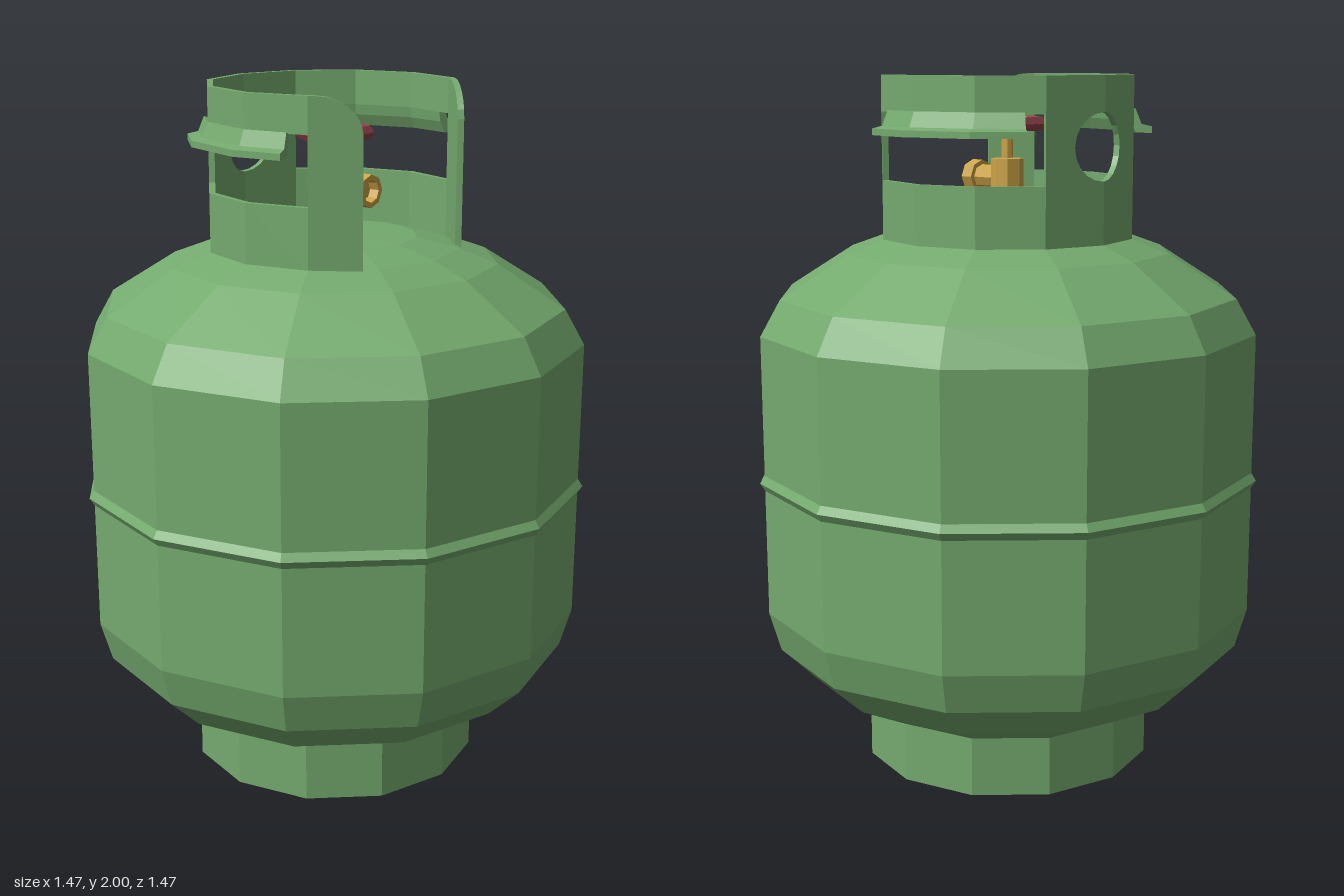
import * as THREE from 'three';

const green = new THREE.MeshStandardMaterial({ name: 'green paint', color: 0x74aa6e, flatShading: true });
const brass = new THREE.MeshStandardMaterial({ name: 'brass', color: 0xcda447, flatShading: true });
const red = new THREE.MeshStandardMaterial({ name: 'red paint', color: 0x94434a, flatShading: true });

const OUTER = 0.363, INNER = 0.345;

function add(parent, name, geometry, material, x = 0, y = 0, z = 0) {
  const mesh = new THREE.Mesh(geometry, material);
  mesh.name = name;
  mesh.position.set(x, y, z);
  parent.add(mesh);
  return mesh;
}

const lathe = (points, sides) =>
  new THREE.LatheGeometry(points.map(([r, y]) => new THREE.Vector2(r, y)), sides);

// Point on the collar circle; the angle runs from the back (-z) towards +x
function onCircle(deg, r, y) {
  const a = THREE.MathUtils.degToRad(deg);
  return new THREE.Vector3(Math.sin(a) * r, y, -Math.cos(a) * r);
}

// Replaces every vertex by rule(vertex)
function warp(geometry, rule) {
  const p = geometry.attributes.position, v = new THREE.Vector3();
  for (let i = 0; i < p.count; i++) {
    const w = rule(v.fromBufferAttribute(p, i));
    p.setXYZ(i, w.x, w.y, w.z);
  }
  geometry.computeVertexNormals();
  return geometry;
}

// Flat collar plate between two angles; outline points are [0..1 across, y]
function plate(from, to, side, outline) {
  const shape = new THREE.Shape(outline.map(([t, y]) => new THREE.Vector2(t * side, y)));
  const geometry = new THREE.ExtrudeGeometry(shape, { depth: 1, bevelEnabled: false });
  return warp(geometry, (v) => {
    const r = v.z > 0.5 ? INNER : OUTER;
    return onCircle(from * side, r, v.y).lerp(onCircle(to * side, r, v.y), v.x * side);
  });
}

// Constant profile [r, y] swept through a list of angles
function sweep(profile, angles) {
  const n = angles.length - 1;
  const shape = new THREE.Shape(profile.map(([r, y]) => new THREE.Vector2(r, y)));
  const geometry = new THREE.ExtrudeGeometry(shape, { depth: n, steps: n, bevelEnabled: false });
  return warp(geometry, (v) => onCircle(angles[Math.round(v.z)], v.x, v.y));
}

const band = (low, high) => [[0, low], [1, low], [1, high], [0, high]];

// Points on an arc from angle a to angle b, in radians
function arc(cx, cy, rx, ry, a, b, n) {
  return Array.from({ length: n + 1 }, (_, i) => {
    const t = a + (b - a) * i / n;
    return [cx + rx * Math.cos(t), cy + ry * Math.sin(t)];
  });
}

function makeCollar() {
  const collar = new THREE.Group();
  collar.name = 'collar';
  const low = 1.54, top = 2, sill = 1.71, lintel = 1.9;
  for (const side of [1, -1]) {
    // Back plate with half of the round hole
    const back = [[0, low], [1, low], [1, top], [0, top],
      ...arc(0, 1.81, 0.51, 0.093, Math.PI / 2, -Math.PI / 2, 10)];
    add(collar, 'collarBack', plate(0, 30, side, back), green);
    // Bands below and above the hand opening
    for (const from of [30, 60, 90]) {
      add(collar, 'collarLowerBand', plate(from, from + 30, side, band(low, sill)), green);
      add(collar, 'collarUpperBand', plate(from, from + 30, side, band(lintel, top)), green);
    }
    // Front plate with a rounded top corner
    const front = [[0, low], [1, low], ...arc(0.1, 1.9, 0.9, 0.1, 0, Math.PI / 2, 6), [0, top]];
    add(collar, 'collarFront', plate(120, 143, side, front), green);
    // Rolled lip under the upper band
    const profile = [[0.345, 1.9], [0.35, 1.87], [0.365, 1.838], [0.41, 1.838],
      [0.41, 1.856], [0.38, 1.863], [0.363, 1.905]];
    const angles = [39, 60, 90, 111];
    add(collar, 'handleLip', sweep(profile, side > 0 ? angles : angles.map((a) => -a).reverse()), green);
  }
  return collar;
}

function makeValve() {
  const valve = new THREE.Group();
  valve.name = 'valve';
  // Upright body and stem
  add(valve, 'valveBody', lathe([[0, 1.56], [0.053, 1.56], [0.053, 1.61], [0.04, 1.625],
    [0.04, 1.655], [0.047, 1.67], [0.047, 1.765], [0, 1.768]], 8), brass);
  add(valve, 'stem', new THREE.CylinderGeometry(0.016, 0.016, 0.11, 8), brass, 0, 1.815, 0);
  // Outlet facing the front, with an open mouth
  const outlet = lathe([[0, 0], [0.034, 0], [0.034, 0.1], [0.047, 0.1], [0.047, 0.138],
    [0.032, 0.138], [0.028, 0.11], [0, 0.11]], 8);
  add(valve, 'outlet', outlet, brass, 0, 1.71, 0).rotation.x = Math.PI / 2;
  // Hand wheel with crossed spokes
  add(valve, 'handWheel', new THREE.TorusGeometry(0.093, 0.022, 6, 6), red, 0, 1.863, 0)
    .rotation.x = -Math.PI / 2;
  add(valve, 'wheelSpokeAcross', new THREE.BoxGeometry(0.16, 0.016, 0.022), brass, 0, 1.863, 0);
  add(valve, 'wheelSpokeAlong', new THREE.BoxGeometry(0.022, 0.016, 0.15), brass, 0, 1.863, 0);
  add(valve, 'wheelHub', new THREE.CylinderGeometry(0.03, 0.03, 0.02, 8), brass, 0, 1.863, 0);
  return valve;
}

export function createModel() {
  const model = new THREE.Group();
  model.name = 'gasCylinder';
  // Foot and tank, with a weld bead around the middle
  add(model, 'footRing', lathe([[0, 0], [0.424, 0], [0.424, 0.18], [0, 0.18]], 12), green);
  add(model, 'tank', lathe([[0, 0.17], [0.42, 0.17], [0.585, 0.255], [0.687, 0.355], [0.72, 0.47],
    [0.72, 0.838], [0.734, 0.86], [0.72, 0.882], [0.72, 1.283], [0.663, 1.383],
    [0.47, 1.505], [0.36, 1.545], [0.24, 1.573], [0, 1.578]], 12), green);
  model.add(makeCollar(), makeValve());
  return model;
}
